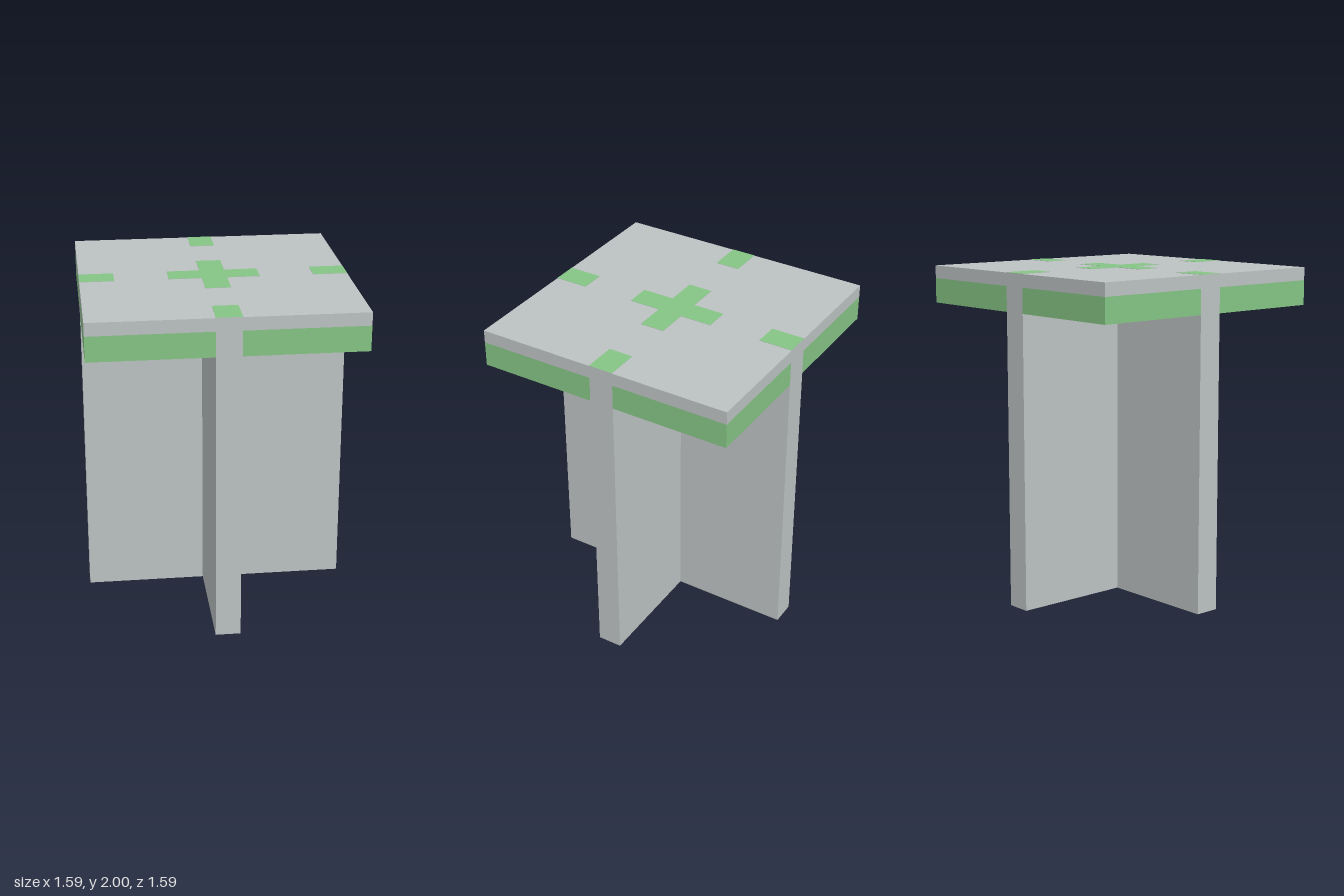
import * as THREE from 'three';

export function createModel() {
  const grey = new THREE.MeshStandardMaterial({ color: 0xbcc2c2 });
  grey.name = 'grey';
  const green = new THREE.MeshStandardMaterial({ color: 0x85c485 });
  green.name = 'green';

  const model = new THREE.Group();
  model.name = 'crossLegTable';

  const H = 0.795; // half width of the table
  const T = 0.075; // half thickness of a leg panel
  const deckBottom = 1.77, deckMid = 1.92, deckTop = 1.998;

  // Box given by its minimum and maximum corners
  function box(name, [x0, y0, z0], [x1, y1, z1], material) {
    const mesh = new THREE.Mesh(new THREE.BoxGeometry(x1 - x0, y1 - y0, z1 - z0), material);
    mesh.position.set((x0 + x1) / 2, (y0 + y1) / 2, (z0 + z1) / 2);
    mesh.name = name;
    model.add(mesh);
  }

  // Crossed leg panels: one full, two halves meeting it
  box('legPanelAcross', [-H, 0, -T], [H, deckMid, T], grey);
  box('legPanelFront', [-T, 0, T], [T, deckMid, H], grey);
  box('legPanelBack', [-T, 0, -H], [T, deckMid, -T], grey);

  // Table top
  box('tableTop', [-H, deckMid, -H], [H, deckTop, H], grey);

  // Four quarter blocks under the top: green edges, grey underside
  const blockMaterials = [green, green, grey, grey, green, green];
  for (const sx of [-1, 1]) {
    for (const sz of [-1, 1]) {
      const x = [sx * T, sx * H].sort((a, b) => a - b);
      const z = [sz * T, sz * H].sort((a, b) => a - b);
      box('underBlock', [x[0], deckBottom, z[0]], [x[1], deckMid, z[1]], blockMaterials);
    }
  }

  // Inlays flush with the top: central cross and one tab at each edge
  const inlay = (name, x0, z0, x1, z1) =>
    box(name, [x0, deckTop, z0], [x1, 2, z1], [grey, grey, green, green, grey, grey]);
  inlay('centreInlay', -0.27, -T, 0.27, T);
  for (const s of [-1, 1]) {
    const near = Math.min(s * T, s * 0.27), far = Math.max(s * T, s * 0.27);
    inlay('centreInlayArm', -T, near, T, far);
    const inner = Math.min(s * 0.59, s * H), outer = Math.max(s * 0.59, s * H);
    inlay('sideTabInlay', inner, -T, outer, T);
    inlay('endTabInlay', -T, inner, T, outer);
  }

  return model;
}
